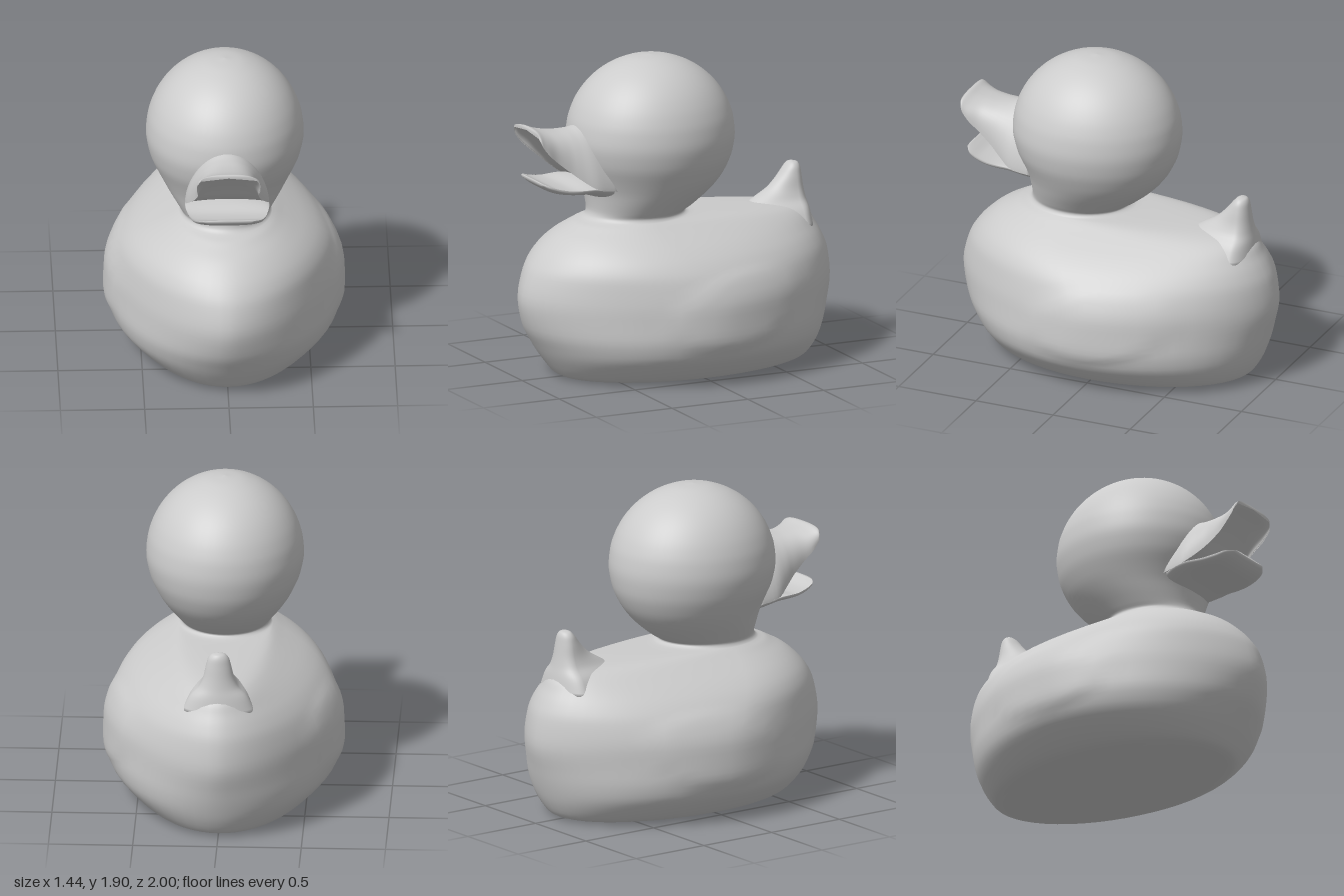
import * as THREE from 'three';

const SEG = 56;
const material = new THREE.MeshStandardMaterial({ color: 0xcccccc });
const smooth = THREE.MathUtils.smoothstep;

// Monotone cubic resampling of cross-section rows
function refine(rows, steps) {
  const slope = (i, k) => {
    if (i === 0) return rows[1][k] - rows[0][k];
    if (i === rows.length - 1) return rows[i][k] - rows[i - 1][k];
    const a = rows[i][k] - rows[i - 1][k], b = rows[i + 1][k] - rows[i][k];
    return a * b <= 0 ? 0 : (2 * a * b) / (a + b);
  };
  const out = [];
  for (let i = 0; i < rows.length - 1; i++) {
    for (let s = 0; s < steps; s++) {
      const t = s / steps, u = 1 - t;
      out.push(rows[i].map((p, k) =>
        p * u * u * (1 + 2 * t) + rows[i + 1][k] * t * t * (3 - 2 * t) +
        slope(i, k) * t * u * u - slope(i + 1, k) * t * t * u));
    }
  }
  out.push(rows[rows.length - 1]);
  return out;
}

// Skin closed rings into a smooth surface with optional fan caps
function skin(name, rings, capStart = true, capEnd = true) {
  const pos = rings.flat(2), idx = [], last = rings.length - 1;
  for (let i = 0; i < last; i++) {
    for (let j = 0; j < SEG; j++) {
      const k = (j + 1) % SEG;
      const a = i * SEG + j, b = a + SEG, c = i * SEG + k, d = c + SEG;
      idx.push(a, b, c, c, b, d);
    }
  }
  const cap = (i, atStart) => {
    const centre = pos.length / 3;
    pos.push(...[0, 1, 2].map(k => rings[i].reduce((s, p) => s + p[k], 0) / SEG));
    for (let j = 0; j < SEG; j++) {
      const a = i * SEG + j, b = i * SEG + (j + 1) % SEG;
      idx.push(centre, ...(atStart ? [a, b] : [b, a]));
    }
  };
  if (capStart) cap(0, true);
  if (capEnd) cap(last, false);
  const g = new THREE.BufferGeometry();
  g.setAttribute('position', new THREE.Float32BufferAttribute(pos, 3));
  g.setIndex(idx);
  g.computeVertexNormals();
  const mesh = new THREE.Mesh(g, material);
  mesh.name = name;
  return mesh;
}

const angles = Array.from({ length: SEG }, (_, j) => (j / SEG) * Math.PI * 2);
const power = (v, n) => Math.sign(v) * Math.pow(Math.abs(v), 2 / n);

// Horizontal section from [y, half width, front z, back z]; zc is its widest z
function flatRing([y, w, zf, zb], zc) {
  const n = 2 - 0.28 * Math.exp(-(((y - 0.48) / 0.28) ** 2)); // pointed ends at mid height
  return angles.map(a => {
    const s = power(Math.sin(a), n);
    return [w * power(Math.cos(a), n), y, zc + s * (s > 0 ? zf - zc : zc - zb)];
  });
}

// Widest point moves forward from the belly to the neck, then back a little in the head
const bodyCentre = y => 0.25 * smooth(y, 0.5, 0.95) - 0.09 * smooth(y, 0.95, 1.2);
const bodyRing = row => flatRing(row, bodyCentre(row[0]));
const tailRing = row => flatRing(row, -0.777);

// Bill section from [z, half width, top y, edge y, underside y], squarer toward the tip
function billRing([z, w, top, edge, under]) {
  const n = 1.65 + 0.95 * smooth(z, 0.56, 0.82);
  return angles.map(a => {
    const s = power(Math.sin(a), n);
    return [w * power(Math.cos(a), n), edge + Math.abs(s) * ((s < 0 ? top : under) - edge), z];
  });
}

// Faint raised wing on each flank
function wing([x, y, z]) {
  const r = Math.hypot((z + 0.12) / 0.46, (y - 0.45 + 0.12 * (z + 0.12)) / 0.24);
  const lift = 0.012 * (1 - smooth(r, 0.8, 1.05));
  return [Math.abs(x) > 0.3 ? x + Math.sign(x) * lift : x, y, z];
}

// Body and neck sections up to the cheeks
const bodyRows = [
  [0.00, 0.42, 0.73, -0.78],
  [0.02, 0.49, 0.77, -0.835],
  [0.10, 0.60, 0.835, -0.89],
  [0.20, 0.68, 0.90, -0.93],
  [0.32, 0.706, 0.965, -0.965],
  [0.48, 0.70, 1.00, -1.00],
  [0.64, 0.645, 0.96, -0.98],
  [0.73, 0.58, 0.905, -0.945],
  [0.80, 0.50, 0.84, -0.905],
  [0.86, 0.41, 0.765, -0.87],
  [0.90, 0.345, 0.69, -0.80],
  [0.925, 0.305, 0.64, -0.62],
  [0.937, 0.285, 0.60, -0.35],
  [0.945, 0.273, 0.58, -0.08],
  [0.965, 0.264, 0.56, -0.045],
  [1.00, 0.285, 0.552, -0.10],
  [1.10, 0.35, 0.565, -0.22],
  [1.20, 0.405, 0.60, -0.295],
  [1.31, 0.45, 0.645, -0.34],
];

// Upper head follows an ellipsoid to the crown
const HEAD_STEPS = 8;
const headRows = Array.from({ length: HEAD_STEPS + 1 }, (_, i) => {
  const a = (i / HEAD_STEPS) * Math.PI / 2 * 0.995, c = Math.cos(a);
  return [1.42 + 0.485 * Math.sin(a), 0.468 * c, 0.16 + 0.505 * c, 0.16 - 0.515 * c];
});

const tailRows = [
  [0.78, 0.22, -0.42, -0.88],
  [0.88, 0.17, -0.44, -0.865],
  [0.94, 0.115, -0.52, -0.852],
  [1.00, 0.09, -0.62, -0.842],
  [1.07, 0.075, -0.69, -0.833],
  [1.12, 0.06, -0.73, -0.825],
  [1.145, 0.036, -0.755, -0.81],
  [1.152, 0.004, -0.773, -0.781],
];

const upperBillRows = [
  [0.48, 0.24, 1.50, 1.15, 1.17],
  [0.60, 0.25, 1.53, 1.17, 1.195],
  [0.70, 0.215, 1.51, 1.23, 1.265],
  [0.77, 0.19, 1.507, 1.285, 1.345],
  [0.85, 0.18, 1.515, 1.35, 1.425],
  [0.915, 0.188, 1.53, 1.41, 1.485],
  [0.955, 0.188, 1.545, 1.465, 1.515],
  [0.972, 0.165, 1.543, 1.51, 1.53],
];

const lowerBillRows = [
  [0.48, 0.22, 1.21, 1.15, 1.06],
  [0.58, 0.25, 1.205, 1.17, 1.095],
  [0.66, 0.25, 1.195, 1.18, 1.12],
  [0.75, 0.238, 1.175, 1.18, 1.133],
  [0.84, 0.218, 1.185, 1.193, 1.148],
  [0.90, 0.195, 1.21, 1.21, 1.175],
  [0.938, 0.14, 1.228, 1.22, 1.207],
];

export function createModel() {
  const duck = new THREE.Group();
  duck.name = 'rubberDuck';

  // Body, neck and head in one continuous skin, closed by a flat base
  const bodyRings = refine([...bodyRows, ...headRows], 4).map(r => bodyRing(r).map(wing));
  duck.add(skin('bodyAndHead', bodyRings, false));
  duck.add(skin('base', [bodyRing(bodyRows[0])], true, false));

  // Upturned tail tip
  duck.add(skin('tail', refine(tailRows, 4).map(tailRing)));

  // Open bill: arched upper half and dished lower half
  duck.add(skin('upperBill', refine(upperBillRows, 4).map(billRing)));
  duck.add(skin('lowerBill', refine(lowerBillRows, 4).map(billRing)));
  return duck;
}
